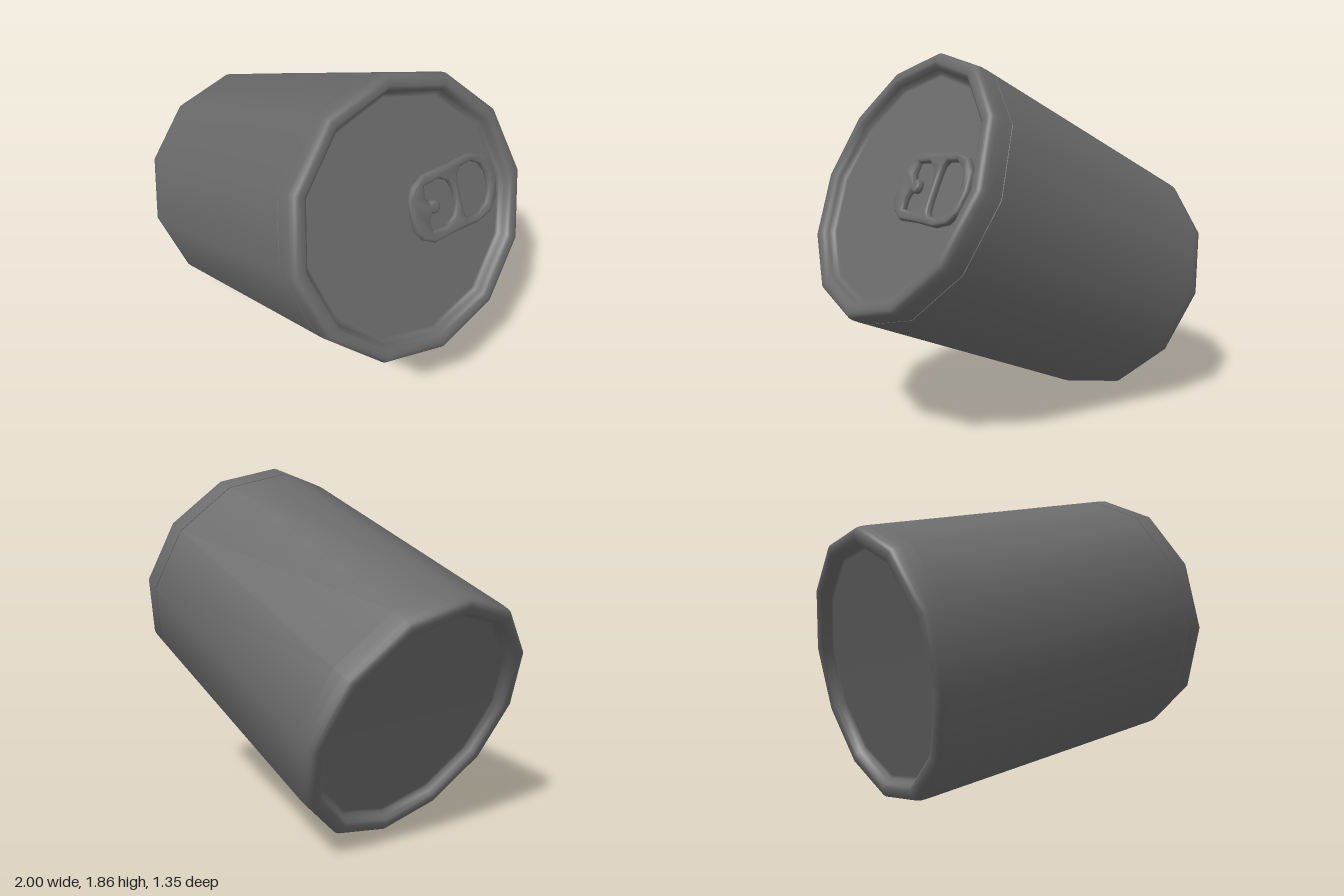
import * as THREE from 'three';
import { toCreasedNormals } from 'three/addons/utils/BufferGeometryUtils.js';

const SIDES = 12;
const TILT = THREE.MathUtils.degToRad(-66.5);
const material = new THREE.MeshStandardMaterial({ color: 0x6a6a6a });
const toPoints = (list) => list.map(([x, y]) => new THREE.Vector2(x, y));

// Rounded rim and recessed end plate, from the wall inward
const END_PROFILE = [
  [0.675, 0.688], [0.675, 0.735], [0.673, 0.77], [0.668, 0.79], [0.658, 0.802], [0.64, 0.807],
  [0.615, 0.807], [0.6, 0.797], [0.592, 0.775], [0.582, 0.75], [0.565, 0.745], [0, 0.745],
];

// Surface of revolution around the can's axis, from [radius, height] pairs
function turned(name, profile) {
  const mesh = new THREE.Mesh(new THREE.LatheGeometry(toPoints(profile), SIDES), material);
  mesh.name = name;
  return mesh;
}

// Closed outline from its upper half, mirrored across the long axis
function mirrored(half) {
  const lower = half.filter(([, v]) => v > 0).map(([u, v]) => [u, -v]).reverse();
  return toPoints([...half, ...lower]);
}

// Pull tab: rounded plate with a finger hole and a hole with a rivet tongue
function pullTab() {
  const shape = new THREE.Shape(mirrored([
    [0, 0], [0.005, 0.08], [0.035, 0.13], [0.1, 0.168], [0.24, 0.166], [0.38, 0.174],
    [0.47, 0.15], [0.525, 0.09], [0.54, 0],
  ]));
  const fingerHole = mirrored([
    [0.3, 0.06], [0.305, 0.105], [0.325, 0.13], [0.4, 0.134], [0.455, 0.1], [0.485, 0.045], [0.488, 0],
  ]);
  const tongueHole = mirrored([
    [0.172, 0], [0.166, 0.02], [0.15, 0.033], [0.13, 0.032], [0.115, 0.024], [0.095, 0.06],
    [0.1, 0.115], [0.19, 0.122], [0.245, 0.09], [0.266, 0.04], [0.268, 0],
  ]);
  // Holes wind opposite to the outline
  for (const hole of [fingerHole, tongueHole]) shape.holes.push(new THREE.Path(hole.reverse()));
  const bevel = 0.014;
  const geometry = new THREE.ExtrudeGeometry(shape, {
    depth: 0.012, bevelEnabled: true, bevelSize: bevel, bevelThickness: bevel,
    bevelOffset: -bevel, bevelSegments: 3,
  });
  const mesh = new THREE.Mesh(toCreasedNormals(geometry, 1), material);
  mesh.name = 'pullTab';
  // Lay the plate on the lid, running from the centre toward the back
  mesh.quaternion.setFromRotationMatrix(new THREE.Matrix4().makeBasis(
    new THREE.Vector3(0, 0, -1), new THREE.Vector3(-1, 0, 0), new THREE.Vector3(0, 1, 0),
  ));
  mesh.position.y = 0.75;
  return mesh;
}

export function createModel() {
  const can = new THREE.Group();
  can.name = 'can';

  // Side wall
  can.add(turned('body', [[0.675, -0.688], [0.675, 0.684]]));

  // Hairline groove between wall and lid
  can.add(turned('seam', [[0.675, 0.684], [0.67, 0.6845], [0.67, 0.6875], [0.675, 0.688]]));

  // Lid, and the same end turned over for the base
  can.add(turned('lid', END_PROFILE));
  can.add(turned('base', END_PROFILE.map(([r, y]) => [r, -y]).reverse()));

  can.add(pullTab());

  // The can leans over toward its left
  can.rotation.z = TILT;
  can.position.y = 0.931;

  const model = new THREE.Group();
  model.name = 'tiltedCan';
  model.add(can);
  return model;
}
